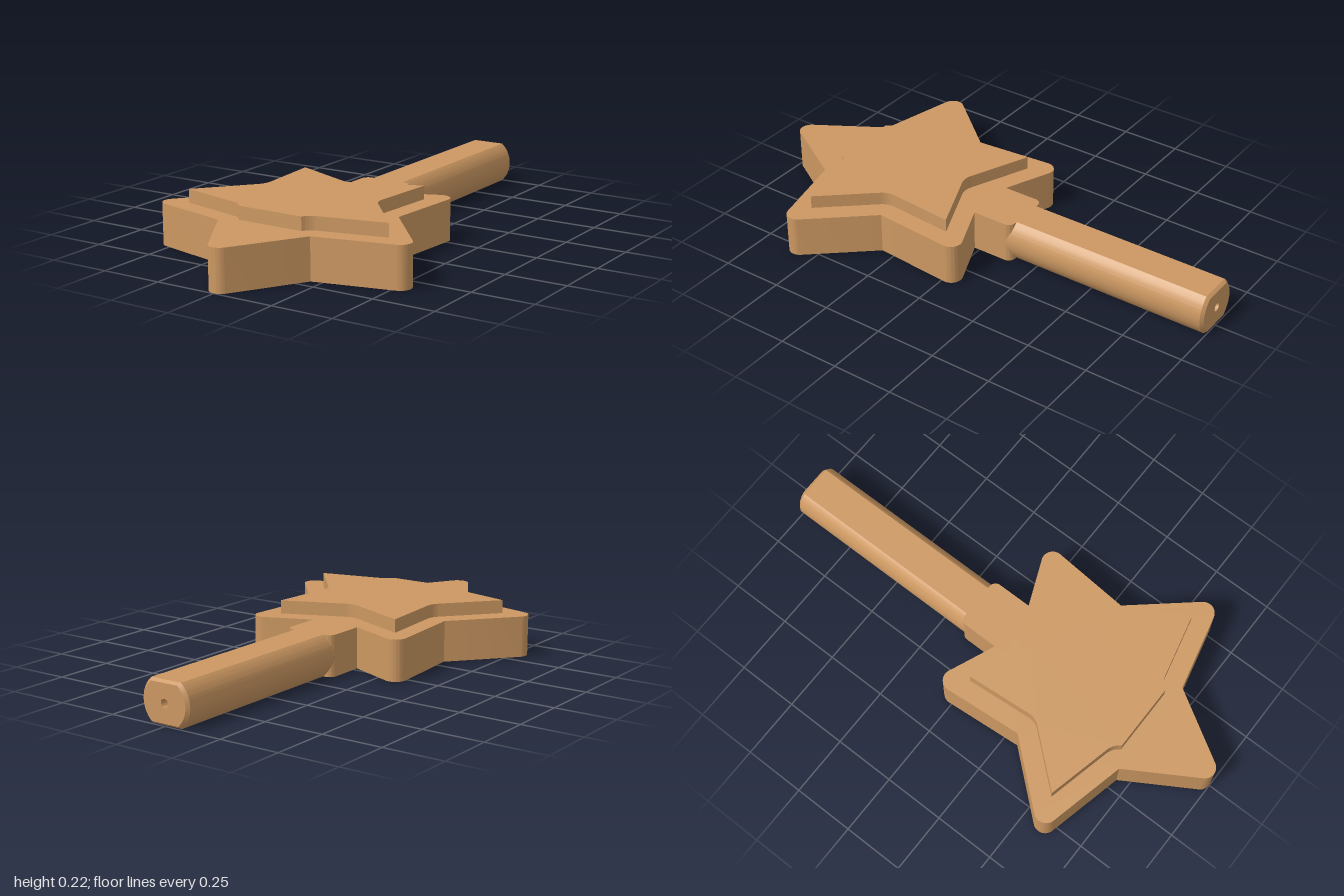
import * as THREE from 'three';
import { toCreasedNormals } from 'three/addons/utils/BufferGeometryUtils.js';

const TIP = 0.622, INNER = 0.35, TIP_ROUND = 0.045, INSET = 0.077;
const CENTRE_Z = 0.418, BASE_H = 0.168, TOP_H = 0.054;
const STEP = Math.PI * 2 / 5;
// half the angle of a star point, and the turn from its axis to an edge normal
const HALF = Math.atan2(INNER * Math.sin(STEP / 2), TIP - INNER * Math.cos(STEP / 2));
const TURN = Math.PI / 2 - HALF;

const polar = (r, a) => new THREE.Vector2(r * Math.cos(a), r * Math.sin(a));

// star with rounded tips and sharp inner corners
function baseStar() {
  const s = new THREE.Shape();
  for (let k = 0; k < 5; k++) {
    const a = Math.PI / 2 + k * STEP;
    const c = polar(TIP - TIP_ROUND / Math.sin(HALF), a);
    s.absarc(c.x, c.y, TIP_ROUND, a - TURN, a + TURN, false);
    const i = polar(INNER, a + STEP / 2);
    s.lineTo(i.x, i.y);
  }
  s.closePath();
  return s;
}

// the same star moved inwards: sharp tips and rounded inner corners
function insetStar() {
  const s = new THREE.Shape();
  for (let k = 0; k < 5; k++) {
    const a = Math.PI / 2 + k * STEP;
    const t = polar(TIP - INSET / Math.sin(HALF), a);
    if (k === 0) s.moveTo(t.x, t.y); else s.lineTo(t.x, t.y);
    const i = polar(INNER, a + STEP / 2);
    s.absarc(i.x, i.y, INSET, a + TURN + Math.PI, a + STEP - TURN + Math.PI, true);
  }
  s.closePath();
  return s;
}

// round bar with flat top and bottom and a small bore
function barSection() {
  const R = 0.108, a = Math.asin(0.084 / R);
  const s = new THREE.Shape();
  s.absarc(0, 0, R, -a, a, false);
  s.absarc(0, 0, R, Math.PI - a, Math.PI + a, false);
  s.closePath();
  s.holes.push(new THREE.Path().absarc(0, 0, 0.017, 0, Math.PI * 2, true));
  return s;
}

const extrude = (shape, depth) =>
  new THREE.ExtrudeGeometry(shape, { depth, bevelEnabled: false, curveSegments: 16 });

// lay a plan shape flat, with its shape y along +z and its base at y
const slab = (shape, h, y, z) => extrude(shape, h).rotateX(Math.PI / 2).translate(0, y + h, z);

export function createModel() {
  const model = new THREE.Group();
  const wood = new THREE.MeshStandardMaterial({ color: 0xcc9862 });
  wood.name = 'tan';
  const add = (name, geometry) => {
    const mesh = new THREE.Mesh(toCreasedNormals(geometry, 0.5), wood);
    mesh.name = name;
    model.add(mesh);
  };

  add('starBase', slab(baseStar(), BASE_H, 0, CENTRE_Z));
  add('raisedStar', slab(insetStar(), TOP_H, BASE_H, CENTRE_Z));

  // block joining star and handle, rounded at its back corners
  const w = 0.108, r = 0.03, back = -0.15;
  const neck = new THREE.Shape();
  neck.moveTo(w, 0.068);
  neck.lineTo(-w, 0.068);
  neck.absarc(-w + r, back + r, r, Math.PI, Math.PI * 1.5, false);
  neck.absarc(w - r, back + r, r, Math.PI * 1.5, Math.PI * 2, false);
  neck.closePath();
  add('neck', slab(neck, BASE_H, 0, 0));

  // handle shaft
  const chamfer = 0.012;
  add('handle', extrude(barSection(), 0.888 - chamfer).translate(0, 0.084, -1 + chamfer));

  // chamfered end of the handle: shrink only the outer rim at the back
  const end = extrude(barSection(), chamfer);
  const p = end.attributes.position;
  for (let i = 0; i < p.count; i++) {
    const x = p.getX(i), y = p.getY(i);
    if (p.getZ(i) < 0.001 && Math.hypot(x, y) > 0.05) p.setXY(i, x * 0.89, y * 0.89);
  }
  end.computeVertexNormals();
  add('handleEnd', end.translate(0, 0.084, -1));

  return model;
}
